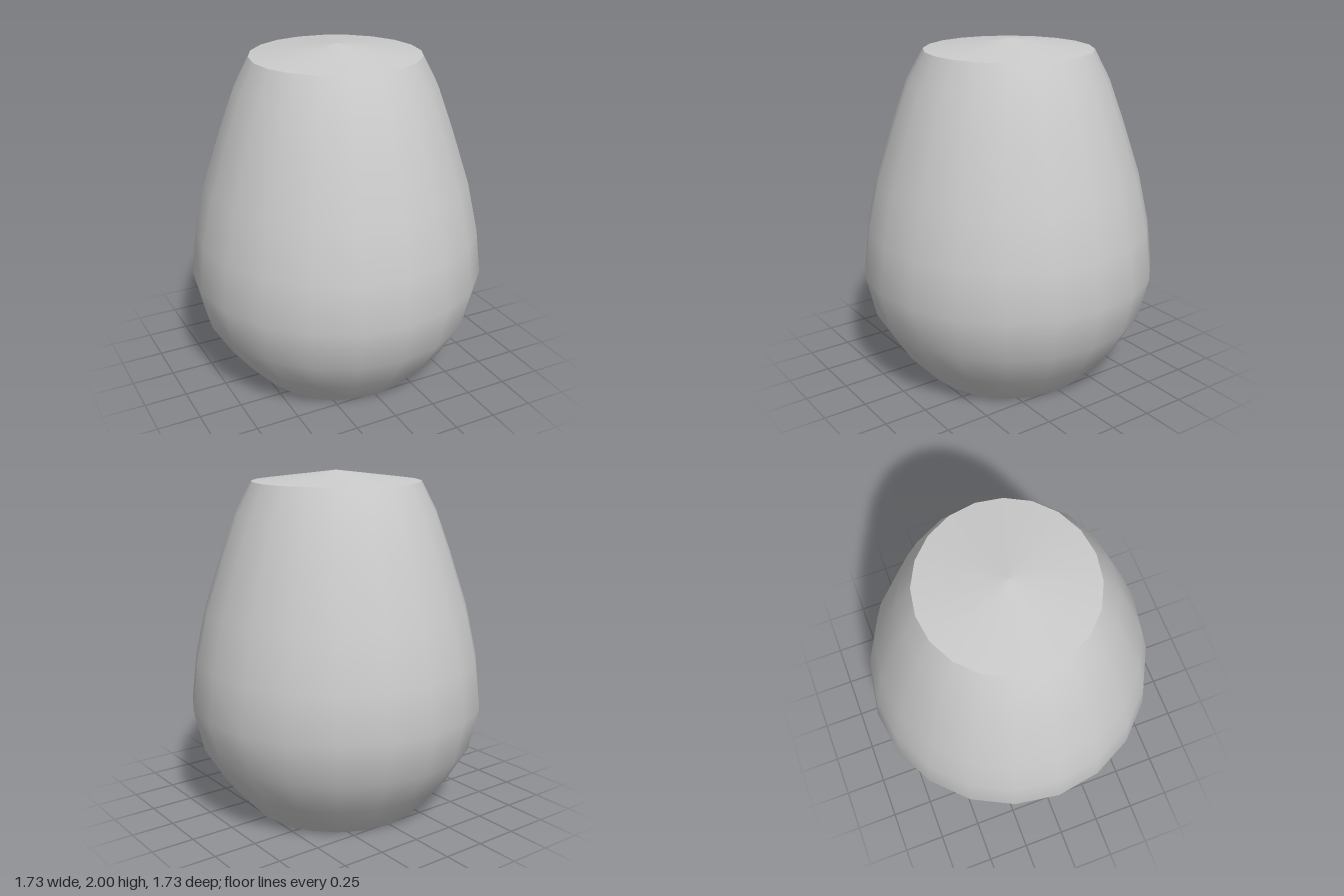
import * as THREE from 'three';

const SIDES = 20;
const RIM = [0.49, 1.94];

function lathe(name, profile) {
  const points = profile.map(([r, y]) => new THREE.Vector2(r, y));
  const geometry = new THREE.LatheGeometry(points, SIDES);
  // The front half of the top rim is pulled in very slightly
  const pos = geometry.attributes.position;
  for (let i = 0; i < pos.count; i++) {
    if (Math.abs(pos.getY(i) - RIM[1]) < 1e-4 && pos.getZ(i) > 0) {
      pos.setZ(i, pos.getZ(i) * 0.97);
    }
  }
  const mesh = new THREE.Mesh(geometry, new THREE.MeshStandardMaterial({ color: 0xcccccc }));
  mesh.name = name;
  return mesh;
}

export function createModel() {
  const group = new THREE.Group();
  group.name = 'roundedVessel';

  // Smooth barrel, widest in its lower third
  group.add(lathe('body', [
    [0.515, 0], [0.69, 0.2], [0.81, 0.4], [0.867, 0.65], [0.835, 0.92],
    [0.77, 1.21], [0.665, 1.53], [0.578, 1.77], RIM,
  ]));

  // Shallow peaked lid and flat underside
  group.add(lathe('topCap', [RIM, [0, 2]]));
  group.add(lathe('base', [[0, 0], [0.515, 0]]));

  return group;
}
